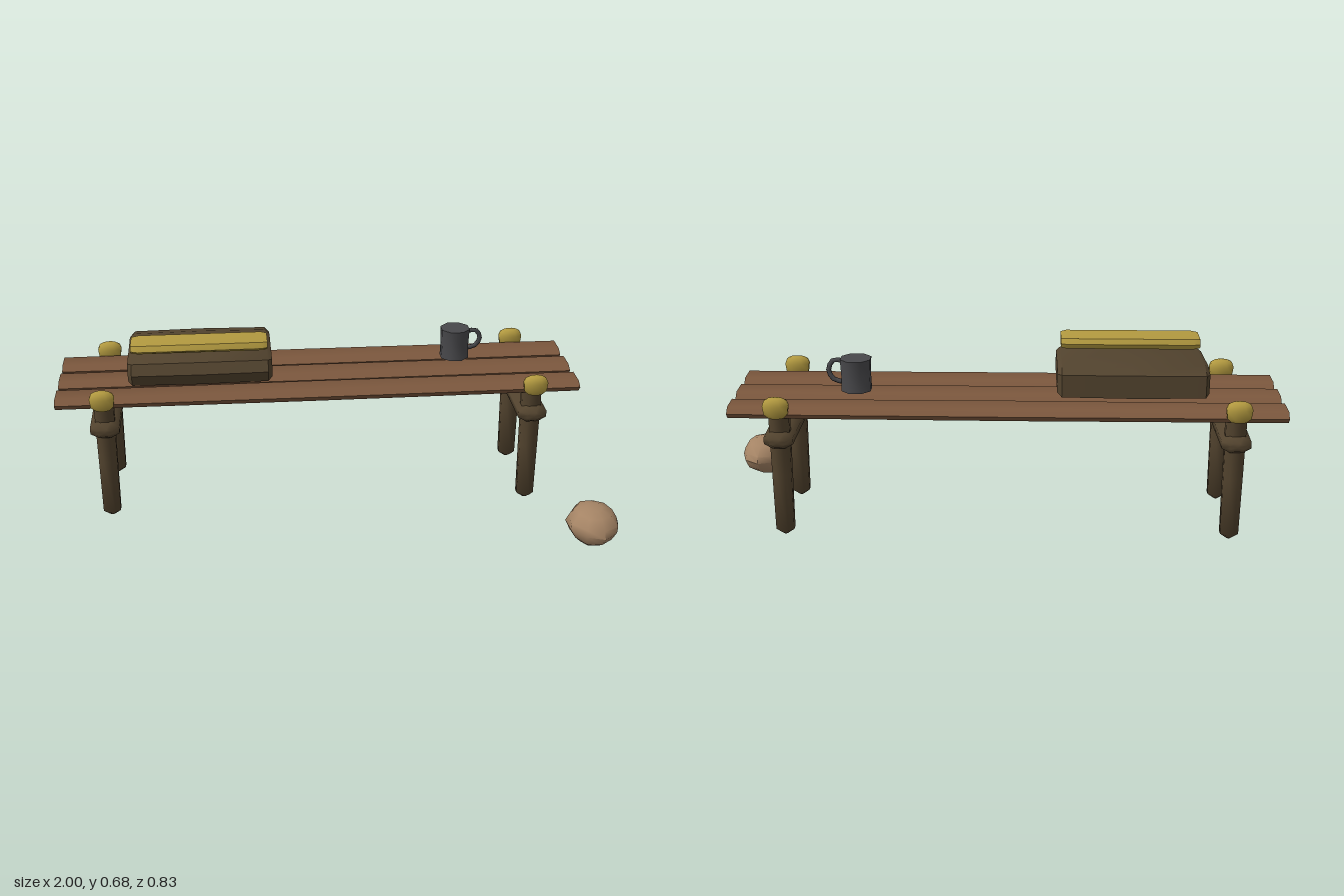
import * as THREE from 'three';
import { toCreasedNormals } from 'three/addons/utils/BufferGeometryUtils.js';

const mat = (name, color) => new THREE.MeshStandardMaterial({ name, color });

// Closed solid through rings of [x, y, z] points, with fan caps
function loft(rings, crease = 0.75) {
  const n = rings[0].length, pos = [];
  const tri = (a, b, c) => pos.push(...a, ...b, ...c);
  const mid = (r) => [0, 1, 2].map((k) => r.reduce((s, p) => s + p[k], 0) / n);
  const first = rings[0], last = rings[rings.length - 1];
  const c0 = mid(first), c1 = mid(last);
  for (let j = 0; j < n; j++) {
    const k = (j + 1) % n;
    for (let i = 0; i < rings.length - 1; i++) {
      const a = rings[i], b = rings[i + 1];
      tri(a[j], a[k], b[k]);
      tri(a[j], b[k], b[j]);
    }
    tri(c0, first[k], first[j]);
    tri(c1, last[j], last[k]);
  }
  // Turn all faces outward, judged by the signed volume
  let volume = 0;
  const v = [0, 1, 2].map(() => new THREE.Vector3());
  for (let i = 0; i < pos.length; i += 9) {
    v.forEach((p, m) => p.fromArray(pos, i + m * 3));
    volume += v[0].dot(v[1].cross(v[2]));
  }
  if (volume < 0) {
    for (let i = 0; i < pos.length; i += 9) {
      for (let k = 3; k < 6; k++) [pos[i + k], pos[i + k + 3]] = [pos[i + k + 3], pos[i + k]];
    }
  }
  const g = new THREE.BufferGeometry();
  g.setAttribute('position', new THREE.Float32BufferAttribute(pos, 3));
  return toCreasedNormals(g, crease);
}

// Loft along x: stations are [x, scale], section holds [z, y] points
function loftX(stations, section) {
  const cz = section.reduce((s, p) => s + p[0], 0) / section.length;
  const cy = section.reduce((s, p) => s + p[1], 0) / section.length;
  return loft(stations.map(([x, s]) =>
    section.map(([z, y]) => [x, cy + (y - cy) * s, cz + (z - cz) * s])));
}

// Faceted round solid about y: profile holds [radius, y]
function turned(profile, sides, crease = 1.1) {
  return loft(profile.map(([r, y]) => Array.from({ length: sides }, (_, i) => {
    const a = (i + 0.5) / sides * Math.PI * 2;
    return [Math.cos(a) * r, y, Math.sin(a) * r];
  })), crease);
}

export function createModel() {
  const model = new THREE.Group();
  model.name = 'campBench';
  const plankWood = mat('plankWood', 0x7b573d);
  const darkWood = mat('darkWood', 0x52432e);
  const gold = mat('gold', 0xb39a40);
  const iron = mat('iron', 0x48484b);
  const stoneTan = mat('stoneTan', 0xa58465);

  const add = (name, geometry, material, parent = model) => {
    const mesh = new THREE.Mesh(geometry, material);
    mesh.name = name;
    parent.add(mesh);
    return mesh;
  };

  // Three seat planks with bevelled edges, a little thicker mid-span
  const plankSection = [[0.066, 0.487], [0.038, 0.502], [-0.042, 0.502],
    [-0.066, 0.482], [-0.05, 0.463], [0, 0.457], [0.045, 0.464]];
  [['frontPlank', -0.017], ['middlePlank', -0.167], ['backPlank', -0.319]].forEach(([name, z]) => {
    const plank = loftX([[-1, 0.97], [-0.1, 1.03], [0.89, 0.98]], plankSection);
    add(name, plank, plankWood).position.z = z;
  });

  // Two trestles: a pair of posts, a cross beam and gold lashing knobs
  const postGeo = turned([[0.008, 0.022], [0.034, 0.042], [0.036, 0.25], [0.038, 0.475]], 8);
  const beamGeo = turned([[0.015, -0.235], [0.03, -0.212], [0.031, 0], [0.031, 0.212], [0.015, 0.235]], 8);
  beamGeo.rotateX(Math.PI / 2).scale(1.8, 1, 1);
  const knobGeo = turned([[0.6, -1], [0.95, -0.6], [1.05, 0.3], [0.9, 0.75], [0.55, 1]], 8);
  knobGeo.scale(0.045, 0.035, 0.025);
  [['leftTrestle', 0.72], ['rightTrestle', -0.83]].forEach(([name, x]) => {
    const trestle = new THREE.Group();
    trestle.name = name;
    trestle.position.x = x;
    add('frontPost', postGeo, darkWood, trestle).position.z = 0.005;
    add('backPost', postGeo, darkWood, trestle).position.z = -0.335;
    add('crossBeam', beamGeo, darkWood, trestle).position.set(0, 0.385, -0.165);
    add('frontKnob', knobGeo, gold, trestle).position.set(0, 0.509, 0.063);
    add('backKnob', knobGeo, gold, trestle).position.set(0, 0.509, -0.391);
    model.add(trestle);
  });

  // Folded bedroll
  add('bedroll', loftX(
    [[-0.74, 0.8], [-0.725, 0.97], [-0.48, 1], [-0.24, 0.97], [-0.225, 0.8]],
    [[0.016, 0.575], [-0.005, 0.614], [-0.265, 0.63], [-0.333, 0.613],
      [-0.335, 0.533], [-0.08, 0.519], [-0.005, 0.53]],
  ), darkWood);

  // Gold strap bundle above it
  add('strap', loftX([[-0.725, 0.85], [-0.7, 1], [-0.26, 1], [-0.24, 0.85]],
    [[-0.008, 0.658], [-0.018, 0.678], [-0.122, 0.677], [-0.132, 0.659],
      [-0.122, 0.641], [-0.025, 0.645]]), gold);

  // Mug with an angular handle
  const mug = new THREE.Group();
  mug.name = 'mug';
  mug.position.set(0.468, 0, -0.213);
  add('mugBody', turned([[0.055, 0.516], [0.053, 0.57], [0.056, 0.63]], 8), iron, mug);
  const handlePath = new THREE.CatmullRomCurve3([[0.045, 0.618, 0.003], [0.078, 0.62, 0.004],
    [0.095, 0.588, 0], [0.08, 0.556, -0.004], [0.045, 0.545, -0.006]]
    .map((p) => new THREE.Vector3(...p)));
  add('mugHandle', new THREE.TubeGeometry(handlePath, 8, 0.009, 5), iron, mug);
  model.add(mug);

  // Loose stone beside the bench, slightly uneven
  const stoneRings = [[0.5, 0], [0.82, 0.025], [1, 0.06], [0.95, 0.085], [0.68, 0.118], [0.3, 0.13]];
  const stoneGeo = loft(stoneRings.map(([r, y], i) => Array.from({ length: 9 }, (_, j) => {
    const a = j / 9 * Math.PI * 2;
    const s = r * (1 + 0.05 * Math.sin(j * 2.3 + i * 1.7));
    return [Math.cos(a) * 0.094 * s, y, Math.sin(a) * 0.11 * s];
  })), 1.0);
  add('stone', stoneGeo, stoneTan).position.set(0.905, 0, 0.303);

  return model;
}
